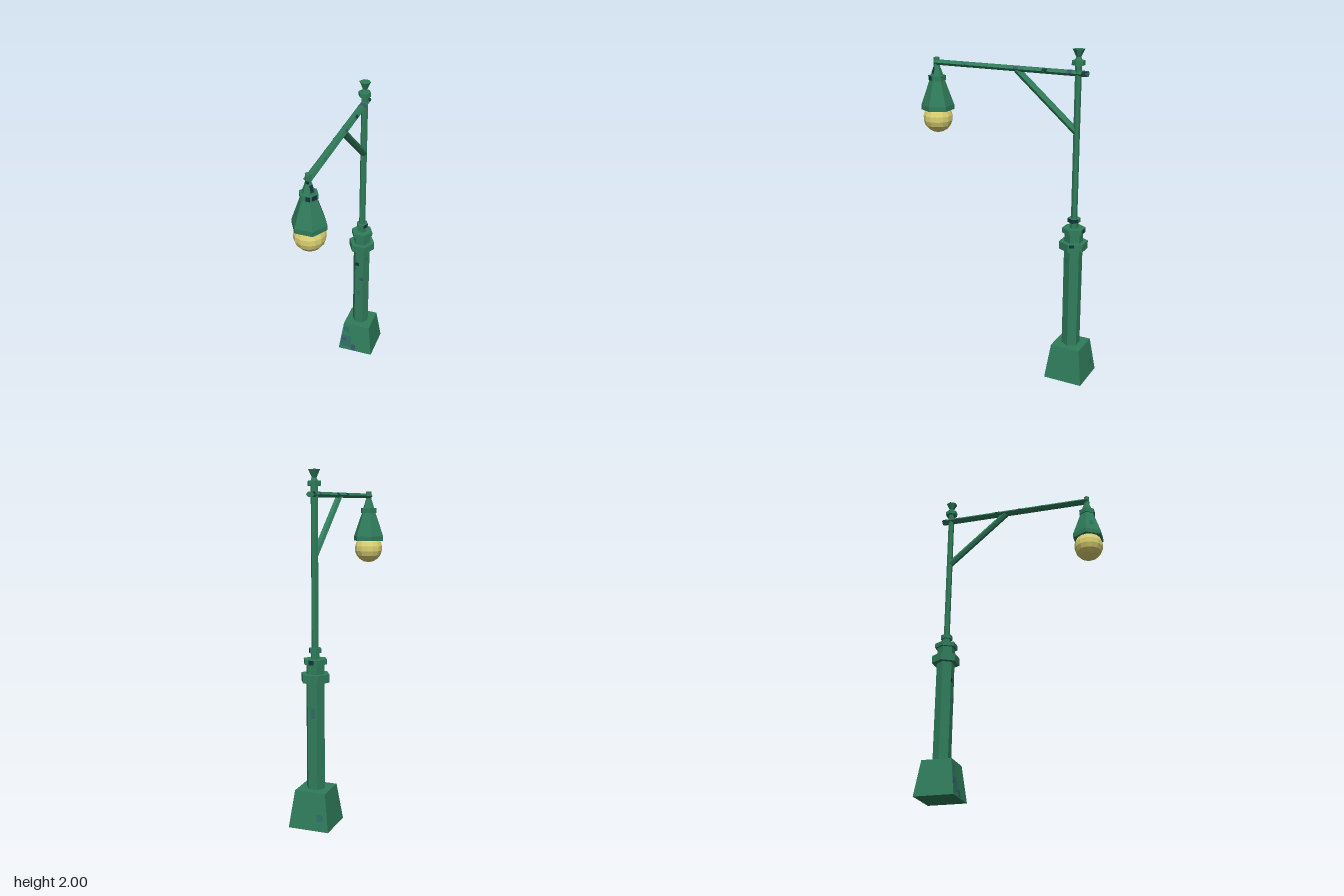
import * as THREE from 'three';

const POLE_Z = -0.443, LAMP_Z = 0.472;

export function createModel() {
  const model = new THREE.Group();
  model.name = 'streetLamp';
  const paint = (name, color) => {
    const m = new THREE.MeshStandardMaterial({ color, flatShading: true });
    m.name = name;
    return m;
  };
  const green = paint('greenPaint', 0x307c5b);
  const dark = paint('darkWear', 0x12343a);
  const slate = paint('slateWear', 0x38566a);
  const teal = paint('tealWear', 0x2f6d66);
  const glass = paint('yellowGlass', 0xdcd273);

  const add = (name, geometry, material, parent = model) => {
    const mesh = new THREE.Mesh(geometry, material);
    mesh.name = name;
    parent.add(mesh);
    return mesh;
  };

  // Upright six-sided frustum with corners on the x axis
  const hex = (name, z, y0, y1, r0, r1 = r0, depth = 1) => {
    const g = new THREE.CylinderGeometry(r1, r0, y1 - y0, 6, 1, false, Math.PI / 6);
    g.scale(1, 1, depth);
    const mesh = add(name, g, green);
    mesh.position.set(0, (y0 + y1) / 2, z);
    return mesh;
  };

  // Square tapered foot
  const foot = add('base', new THREE.CylinderGeometry(0.091 * Math.SQRT2, 0.12 * Math.SQRT2, 0.215, 4, 1, false, Math.PI / 4), green);
  foot.position.set(0, 0.1075, POLE_Z);

  // Column, collars, slim pole and finial
  hex('column', POLE_Z, 0.215, 0.94, 0.055);
  hex('lowerCollar', POLE_Z, 0.835, 0.882, 0.085);
  hex('upperCollar', POLE_Z, 0.937, 0.965, 0.07);
  hex('poleSocket', POLE_Z, 0.965, 1.0, 0.026);
  hex('poleRing', POLE_Z, 1.0, 1.025, 0.037);
  hex('pole', POLE_Z, 1.0, 1.93, 0.021, 0.021, 0.87);
  hex('topRing', POLE_Z, 1.912, 1.938, 0.038);
  hex('finialNeck', POLE_Z, 1.938, 1.956, 0.022, 0.014);
  hex('finialCup', POLE_Z, 1.952, 2.0, 0.012, 0.035);

  // Horizontal arm and diagonal brace
  const rod = (name, a, b, r, depth) => {
    const dir = new THREE.Vector3().subVectors(b, a);
    const mesh = hex(name, 0, 0, dir.length(), r, r, depth);
    mesh.position.addVectors(a, b).multiplyScalar(0.5);
    mesh.rotation.x = Math.atan2(dir.z, dir.y);
  };
  rod('arm', new THREE.Vector3(0, 1.866, -0.5), new THREE.Vector3(0, 1.866, 0.48), 0.024, 0.7);
  rod('brace', new THREE.Vector3(0, 1.535, POLE_Z), new THREE.Vector3(0, 1.86, -0.065), 0.021, 0.95);

  // Hanging lamp
  hex('hanger', LAMP_Z, 1.8, 1.895, 0.018);
  hex('hangerCone', LAMP_Z, 1.788, 1.85, 0.038, 0.017);
  hex('shadeCap', LAMP_Z, 1.758, 1.788, 0.053);
  hex('shade', LAMP_Z, 1.608, 1.76, 0.1, 0.046);
  hex('shadeRim', LAMP_Z, 1.58, 1.608, 0.1);
  const bulb = add('bulb', new THREE.SphereGeometry(0.09, 14, 9), glass);
  bulb.position.set(0, 1.53, LAMP_Z);

  // Thin worn-paint plate on one side of an upright part, leaning back by tilt
  const wear = (name, z, turn, apothem, x, y, w, h, material, tilt = 0) => {
    const holder = new THREE.Group();
    holder.name = name;
    holder.position.z = z;
    holder.rotation.y = turn;
    const plate = add('wornPaint', new THREE.BoxGeometry(w, h, 0.0016), material, holder);
    plate.position.set(x, y, apothem);
    plate.rotation.x = -tilt;
    model.add(holder);
  };

  // Shaft wear: [side, apothem, offset, y, width, height, material]
  for (const [side, ...rest] of [
    [0, 0.0477, -0.015, 0.72, 0.026, 0.026, dark],
    [0, 0.0477, 0.016, 0.6, 0.022, 0.026, slate],
    [0, 0.0477, 0, 0.48, 0.026, 0.03, teal],
    [1, 0.0477, 0, 0.76, 0.024, 0.03, teal],
    [3, 0.0477, 0.005, 0.66, 0.024, 0.06, teal],
    [1, 0.0321, 0, 1.0125, 0.036, 0.024, dark],
    [2, 0.0321, 0, 1.0125, 0.036, 0.024, dark],
    [2, 0.0737, -0.02, 0.872, 0.03, 0.02, dark],
    [3, 0.0607, 0, 0.951, 0.03, 0.026, dark],
  ]) wear('shaftWear', POLE_Z, side * Math.PI / 3, ...rest);

  // Base wear: [side, offset, y, width, height, material, lift]
  for (const [side, x, y, w, h, mat, lift] of [
    [0, -0.07, 0.07, 0.07, 0.09, teal, 0],
    [0, -0.085, 0.085, 0.03, 0.02, slate, 0.001],
    [0, -0.015, 0.028, 0.03, 0.045, slate, 0],
    [0, -0.07, 0.17, 0.035, 0.04, teal, 0],
    [2, 0.065, 0.075, 0.035, 0.04, teal, 0],
  ]) wear('baseWear', POLE_Z, side * Math.PI / 2, 0.12 - 0.135 * y + lift, x, y, w, h, mat, 0.134);

  // Lamp wear: [side, apothem, offset, y, width, height, material, tilt]
  for (const [side, ...rest] of [
    [0, 0.0158, 0, 1.845, 0.017, 0.03, dark, 0],
    [1, 0.0242, 0, 1.817, 0.02, 0.04, dark, 0.285],
    [0, 0.0461, 0.012, 1.773, 0.024, 0.026, dark, 0],
    [1, 0.0461, 0, 1.773, 0.03, 0.026, dark, 0],
    [5, 0.0687, 0, 1.667, 0.025, 0.035, teal, 0.298],
  ]) wear('lampWear', LAMP_Z, side * Math.PI / 3, ...rest);

  // Worn paint on the arm: flat top, then the sloping upper sides
  for (const z of [-0.482, -0.395]) {
    add('armTopWear', new THREE.BoxGeometry(0.024, 0.0016, 0.028), slate).position.set(0, 1.8806, z);
  }
  for (const [side, z, mat] of [
    [-1, -0.484, dark], [-1, -0.395, slate], [-1, -0.125, dark], [-1, 0.03, dark], [-1, 0.18, teal],
    [1, -0.484, dark], [1, -0.395, slate], [1, -0.245, dark], [1, -0.065, slate], [1, 0.27, teal],
  ]) {
    const plate = add('armSideWear', new THREE.BoxGeometry(0.017, 0.0016, 0.03), mat);
    plate.position.set(side * 0.018, 1.8733, z);
    plate.rotation.z = -side * 0.88;
  }
  return model;
}
